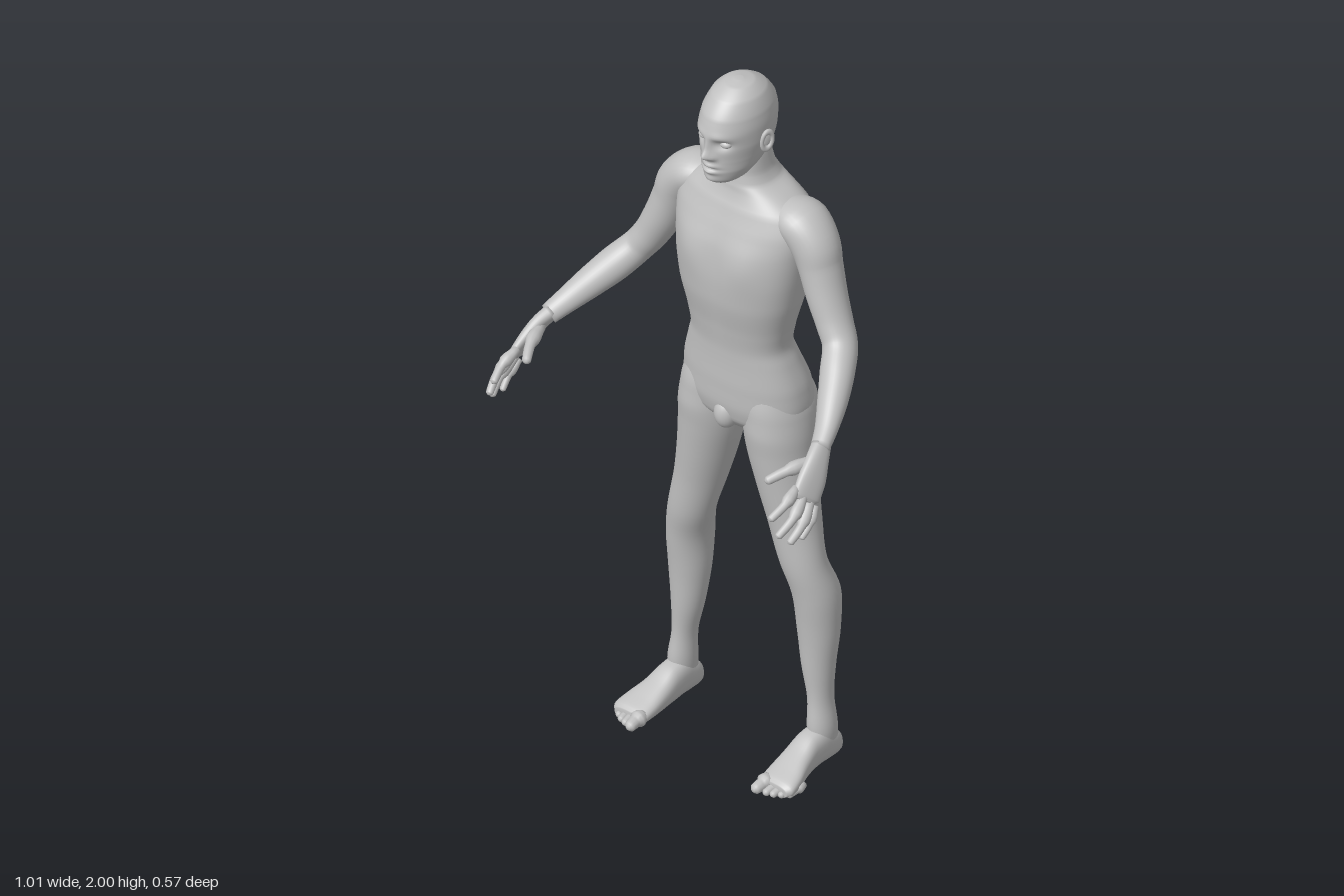
import * as THREE from 'three';

const skin = new THREE.MeshStandardMaterial({ color: 0xc0c0c0 });
skin.name = 'plain grey';

const V = (x, y, z) => new THREE.Vector3(x, y, z);
const bell = (d, w) => Math.exp(-((d / w) ** 2));

function addMesh(parent, name, geometry) {
  const m = new THREE.Mesh(geometry, skin);
  m.name = name;
  parent.add(m);
  return m;
}

// Smooth closed skin through rings [x, y, z, ra, rb].
// axes: fixed ring axes [a, b]; otherwise rings follow the path with "hint" as first axis.
function loft(rings, { axes, hint, side = 1, n = 2, segs = 32, steps = 5, rule } = {}) {
  const path = new THREE.CatmullRomCurve3(rings.map(r => V(r[0] * side, r[1], r[2])));
  const size = new THREE.CatmullRomCurve3(rings.map(r => V(r[3], r[4], 0)));
  const rows = (rings.length - 1) * steps;
  const pos = [], idx = [];
  const push = v => { if (rule) rule(v); pos.push(v.x, v.y, v.z); };
  for (let i = 0; i <= rows; i++) {
    const t = i / rows, c = path.getPoint(t), s = size.getPoint(t);
    const dir = path.getTangent(t);
    let a, b;
    if (axes) {
      a = axes[0].clone();
      b = axes[1].clone();
      if (a.clone().cross(b).dot(path.points.at(-1).clone().sub(path.points[0])) < 0) b.negate();
    } else {
      b = dir.clone().cross(V(hint.x * side, hint.y, hint.z)).normalize();
      a = b.clone().cross(dir);
    }
    for (let j = 0; j < segs; j++) {
      const q = (j / segs) * Math.PI * 2, co = Math.cos(q), si = Math.sin(q);
      const u = Math.sign(co) * Math.abs(co) ** (2 / n) * Math.max(s.x, 0.001);
      const w = Math.sign(si) * Math.abs(si) ** (2 / n) * Math.max(s.y, 0.001);
      push(c.clone().addScaledVector(a, u).addScaledVector(b, w));
    }
  }
  for (let i = 0; i < rows; i++) for (let j = 0; j < segs; j++) {
    const k = (j + 1) % segs, p = i * segs, q = p + segs;
    idx.push(p + j, p + k, q + j, p + k, q + k, q + j);
  }
  // End caps
  const first = (rows + 1) * segs, last = rows * segs;
  push(path.getPoint(0));
  push(path.getPoint(1));
  for (let j = 0; j < segs; j++) {
    const k = (j + 1) % segs;
    idx.push(first, k, j, first + 1, last + j, last + k);
  }
  const g = new THREE.BufferGeometry();
  g.setAttribute('position', new THREE.Float32BufferAttribute(pos, 3));
  g.setIndex(idx);
  g.computeVertexNormals();
  return g;
}

const FLAT = [V(1, 0, 0), V(0, 0, 1)];
const UPRIGHT = [V(1, 0, 0), V(0, 1, 0)];
// Level ring from height, front z, back z, half width and centre x
const level = (y, front, back, rx, x = 0) => [x, y, (front + back) / 2, rx, (front - back) / 2];

// Rounded finger or toe through three points
function digit(parent, name, side, p, q, r, rad, hint) {
  const end = V(...r).add(V(...r).sub(V(...q)).setLength(rad * 0.5));
  const rings = [[...p, rad, rad], [...q, rad, rad], [...r, rad * 0.85, rad * 0.85],
    [end.x, end.y, end.z, rad * 0.3, rad * 0.3]];
  addMesh(parent, name, loft(rings, { side, hint, segs: 12, steps: 4 }));
}

function buildTorso(body) {
  const rings = [
    [1.84, -.12, -.21, .05], [1.78, -.105, -.222, .06], [1.73, -.105, -.235, .066],
    [1.70, -.1, -.25, .08], [1.675, -.095, -.258, .125], [1.64, -.08, -.268, .18],
    [1.59, -.06, -.278, .2], [1.53, -.04, -.283, .195], [1.45, -.03, -.275, .185],
    [1.37, -.033, -.262, .172], [1.29, -.048, -.242, .152], [1.23, -.057, -.236, .143],
    [1.18, -.06, -.25, .157], [1.11, -.06, -.276, .178], [1.05, -.062, -.286, .184],
    [1.0, -.072, -.275, .17], [.965, -.1, -.25, .11], [.945, -.14, -.2, .05],
  ].map(r => level(...r));
  // Chest, shoulder blades, spine groove and seat cleft
  const rule = v => {
    const ax = Math.abs(v.x);
    if (v.z > -.13) {
      v.z += .008 * bell(ax - .085, .05) * bell(v.y - 1.5, .06);
      v.z -= .006 * bell(v.x, .02) * bell(v.y - 1.45, .15);
    } else if (v.z < -.19) {
      v.z -= .012 * bell(ax - .1, .045) * bell(v.y - 1.56, .08);
      v.z += .016 * bell(v.x, .025) * bell(v.y - 1.42, .22);
      v.z += .06 * bell(v.x, .016) * bell(v.y - 1.03, .07);
    }
  };
  addMesh(body, 'torso', loft(rings, { axes: FLAT, n: 2.3, segs: 72, rule }));
  const groin = addMesh(body, 'groin', new THREE.SphereGeometry(1, 24, 16));
  groin.scale.set(.032, .045, .034);
  groin.position.set(0, 1.005, -.088);
}

function buildHead(body) {
  const head = new THREE.Group();
  head.name = 'head';
  body.add(head);
  const rings = [
    [2.0, -.125, -.145, .01], [1.993, -.095, -.178, .037], [1.97, -.057, -.215, .063],
    [1.93, -.025, -.243, .079], [1.89, -.014, -.25, .084], [1.85, -.016, -.246, .083],
    [1.81, -.018, -.233, .076], [1.78, -.018, -.205, .068], [1.75, -.024, -.165, .052],
    [1.735, -.038, -.13, .034], [1.73, -.06, -.1, .015],
  ].map(r => level(...r));
  // Brow, eye sockets, nose, lips and chin
  const rule = v => {
    if (v.z < -.09) return;
    const ax = Math.abs(v.x);
    v.z += .005 * bell(ax - .03, .03) * bell(v.y - 1.885, .012)
      - .014 * bell(ax - .034, .018) * bell(v.y - 1.862, .014)
      + .01 * bell(v.x, .01) * bell(v.y - 1.855, .022)
      + .024 * bell(v.x, .013) * bell(v.y - 1.829, .014)
      + .008 * bell(ax - .015, .008) * bell(v.y - 1.824, .008)
      + .009 * bell(v.x, .022) * (bell(v.y - 1.797, .007) + bell(v.y - 1.778, .007))
      - .004 * bell(v.x, .025) * bell(v.y - 1.7875, .004)
      + .006 * bell(v.x, .02) * bell(v.y - 1.752, .012);
  };
  addMesh(head, 'skull and face', loft(rings, { axes: FLAT, segs: 96, steps: 8, rule }));
  for (const s of [1, -1]) {
    const eye = addMesh(head, 'eye', new THREE.SphereGeometry(.014, 20, 14));
    eye.scale.set(1.25, .8, 1);
    eye.position.set(s * .034, 1.862, -.044);
    const ear = new THREE.Group();
    ear.name = 'ear';
    const rim = addMesh(ear, 'ear rim', new THREE.TorusGeometry(.015, .0055, 10, 28));
    rim.scale.set(1, 1.65, 1);
    const inner = addMesh(ear, 'ear hollow', new THREE.SphereGeometry(.016, 16, 10));
    inner.scale.set(1, 1.5, .35);
    inner.position.z = -.004;
    ear.position.set(s * .09, 1.848, -.137);
    ear.rotation.set(0, s * (Math.PI / 2 - .35), s * -.12);
    head.add(ear);
  }
}

function buildLeg(body, s) {
  const leg = new THREE.Group();
  leg.name = s > 0 ? 'leftLeg' : 'rightLeg';
  body.add(leg);
  const rings = [
    [1.12, -.085, -.25, .07, .09], [1.04, -.07, -.28, .086, .1], [.98, -.068, -.272, .088, .106],
    [.92, -.075, -.258, .086, .111], [.81, -.088, -.25, .077, .13], [.71, -.1, -.238, .069, .152],
    [.6, -.108, -.226, .063, .18], [.5, -.125, -.254, .06, .205], [.39, -.138, -.25, .055, .21],
    [.28, -.145, -.235, .043, .213], [.18, -.15, -.225, .031, .222], [.1, -.143, -.23, .035, .228],
    [.04, -.15, -.235, .03, .228],
  ].map(r => level(...r));
  addMesh(leg, 'thigh and shin', loft(rings, { axes: FLAT, side: s, segs: 40 }));
  // Foot sections from heel to ball: z, x, height, half width
  const foot = [
    [-.245, .227, .045, .012], [-.238, .227, .06, .024], [-.215, .227, .08, .033],
    [-.175, .227, .105, .036], [-.13, .227, .1, .038], [-.085, .23, .077, .043],
    [-.035, .237, .055, .051], [0, .24, .041, .052], [.014, .238, .032, .042],
  ].map(([z, x, h, w]) => [x, h / 2, z, w, h / 2]);
  addMesh(leg, 'foot', loft(foot, { axes: UPRIGHT, side: s, n: 2.5 }));
  const toes = [[.207, .044, .017], [.232, .034, .0115], [.25, .028, .011], [.267, .017, .0105], [.282, .003, .01]];
  for (const [x, z, r] of toes)
    digit(leg, 'toe', s, [x, r + .006, z - .055], [x, r + .003, z - .025], [x - .002, r, z], r, V(1, 0, 0));
}

function buildArm(body, s) {
  const arm = new THREE.Group();
  arm.name = s > 0 ? 'leftArm' : 'rightArm';
  body.add(arm);
  const rings = [
    [.11, 1.635, -.18, .035, .055], [.175, 1.615, -.177, .058, .073], [.218, 1.57, -.172, .06, .066],
    [.238, 1.52, -.168, .054, .06], [.265, 1.45, -.16, .05, .055], [.3, 1.38, -.15, .045, .049],
    [.33, 1.335, -.135, .043, .046], [.36, 1.295, -.09, .045, .044], [.395, 1.25, -.03, .04, .038],
    [.425, 1.21, .03, .032, .028], [.443, 1.185, .075, .027, .023],
  ];
  addMesh(arm, 'upper arm and forearm', loft(rings, { hint: V(.8, .6, 0), side: s }));
  const across = V(.03, -.06, -.045);
  const palm = [
    [.44, 1.19, .065, .026, .02], [.455, 1.165, .1, .034, .019], [.467, 1.13, .135, .042, .017],
    [.475, 1.1, .165, .042, .013], [.477, 1.092, .172, .03, .009],
  ];
  addMesh(arm, 'palm', loft(palm, { hint: across, side: s, n: 2.4 }));
  // Index to little finger: knuckle, joint, tip
  const fingers = [
    [[.457, 1.128, .18], [.462, 1.105, .232], [.453, 1.082, .274]],
    [[.473, 1.105, .172], [.482, 1.068, .225], [.472, 1.035, .268]],
    [[.482, 1.083, .157], [.493, 1.04, .205], [.487, 1.008, .24]],
    [[.484, 1.065, .14], [.492, 1.028, .172], [.489, 1.0, .198]],
  ];
  fingers.forEach((f, i) => digit(arm, 'finger', s, ...f, i === 3 ? .0095 : .0115, across));
  digit(arm, 'thumb', s, [.443, 1.165, .105], [.418, 1.158, .175], [.394, 1.142, .218], .0135, V(0, 1, 0));
}

export function createModel() {
  const body = new THREE.Group();
  body.name = 'standing figure';
  buildTorso(body);
  buildHead(body);
  for (const s of [1, -1]) {
    buildLeg(body, s);
    buildArm(body, s);
  }
  return body;
}
